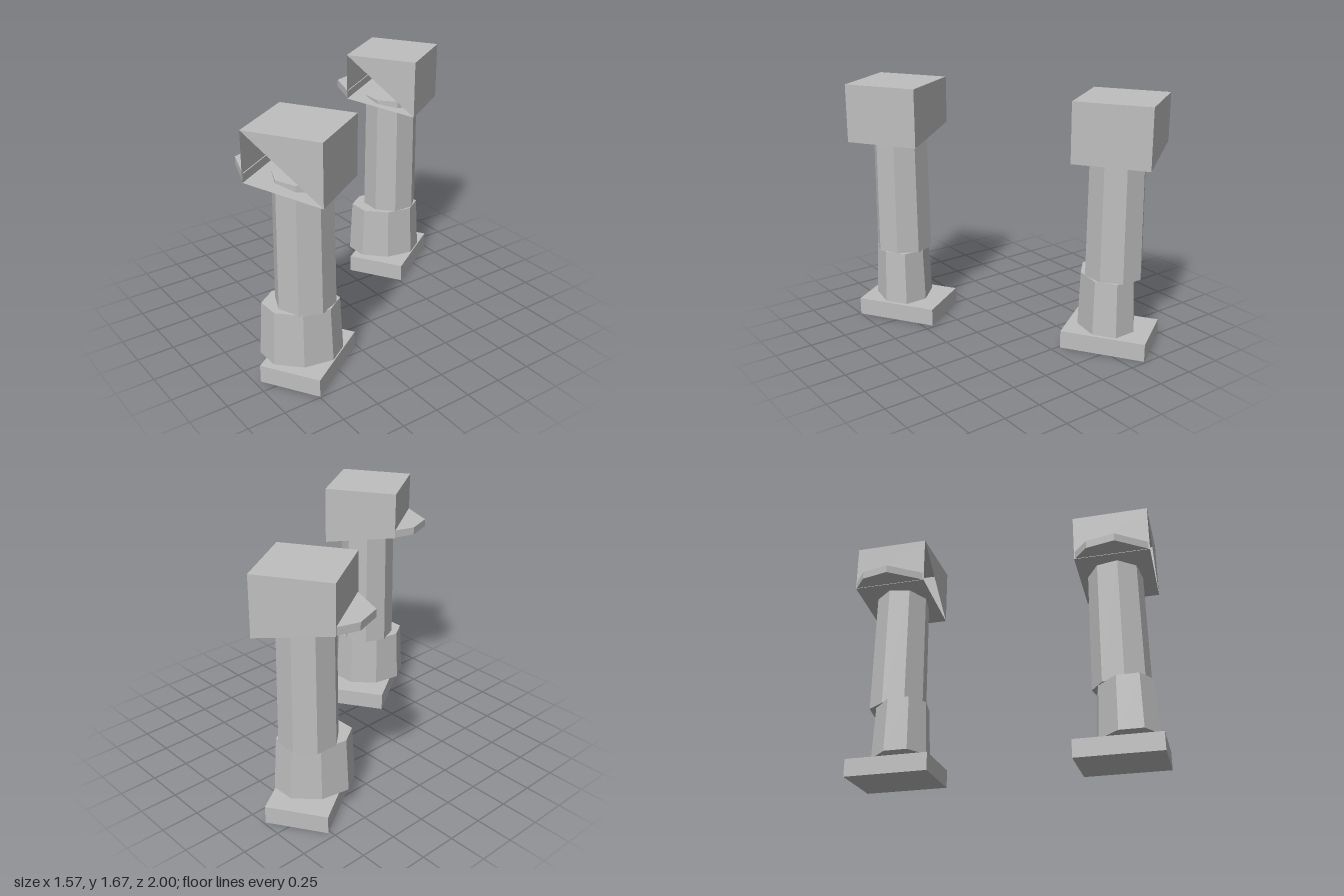
import * as THREE from 'three';

// Head: box with a sloping underside; the lower front half of its +x wall is open
function headGeometry() {
  const w = 0.25, zf = 0.232, zb = -0.266, top = 1.67, lowFront = 1.355, lowBack = 1.28;
  const corners = [];
  for (const x of [-w, w]) {
    corners.push([x, lowBack, zb], [x, lowFront, zf], [x, top, zf], [x, top, zb]);
  }
  const faces = [
    0, 1, 2, 0, 2, 3, // closed side
    4, 7, 6,          // half side
    1, 5, 6, 1, 6, 2, // front
    0, 3, 7, 0, 7, 4, // back
    3, 2, 6, 3, 6, 7, // top
    0, 4, 5, 0, 5, 1, // underside
  ];
  const geometry = new THREE.BufferGeometry();
  geometry.setAttribute('position', new THREE.Float32BufferAttribute(faces.flatMap((i) => corners[i]), 3));
  geometry.computeVertexNormals();
  return geometry;
}

// Lip: flat angular plate on the lower front edge of the head
function lipGeometry() {
  const outline = [[-0.25, 0.225], [0.25, 0.225], [0.04, 0.39], [-0.15, 0.345]];
  const shape = new THREE.Shape(outline.map(([x, z]) => new THREE.Vector2(x, -z)));
  return new THREE.ExtrudeGeometry(shape, { depth: 0.052, bevelEnabled: false }).rotateX(-Math.PI / 2);
}

// Cuff: tapered octagon, flattened across
function cuffGeometry() {
  return new THREE.CylinderGeometry(0.243, 0.262, 0.365, 8).scale(0.745, 1, 1);
}

export function createModel() {
  const grey = new THREE.MeshStandardMaterial({ color: 0xbebebe, flatShading: true, side: THREE.DoubleSide });
  grey.name = 'grey';

  const pair = new THREE.Group();
  pair.name = 'pairOfLegs';

  // Sideways position of each part, per leg
  const legs = [
    { name: 'rightLeg', side: -1, foot: -0.748, cuff: -0.712, shaft: -0.757, head: -0.771 },
    { name: 'leftLeg', side: 1, foot: 0.748, cuff: 0.79, shaft: 0.769, head: 0.783 },
  ];

  for (const { name, side, foot, cuff, shaft, head } of legs) {
    const leg = new THREE.Group();
    leg.name = name;
    const add = (part, geometry, x, y, z, turn = 0) => {
      const mesh = new THREE.Mesh(geometry, grey);
      mesh.name = part;
      mesh.position.set(x, y, z);
      mesh.rotation.y = turn;
      leg.add(mesh);
    };

    // Foot and ankle
    add('foot', new THREE.BoxGeometry(0.565, 0.12, 0.405), foot, 0.063, -0.022);
    add('ankle', new THREE.CylinderGeometry(0.14, 0.14, 0.04, 6), cuff, 0.13, 0);
    // Cuff and shaft
    add('cuff', cuffGeometry(), cuff, 0.318, 0.005, 0.51);
    add('shaft', new THREE.CylinderGeometry(0.185, 0.194, 0.855, 8), shaft, 0.9225, -0.018, side * 0.215);
    // Head and lip
    add('head', headGeometry(), head, 0, 0);
    add('lip', lipGeometry(), head, 1.358, 0);
    pair.add(leg);
  }

  pair.rotation.y = -1;
  const root = new THREE.Group();
  root.name = 'model';
  root.add(pair);
  return root;
}
